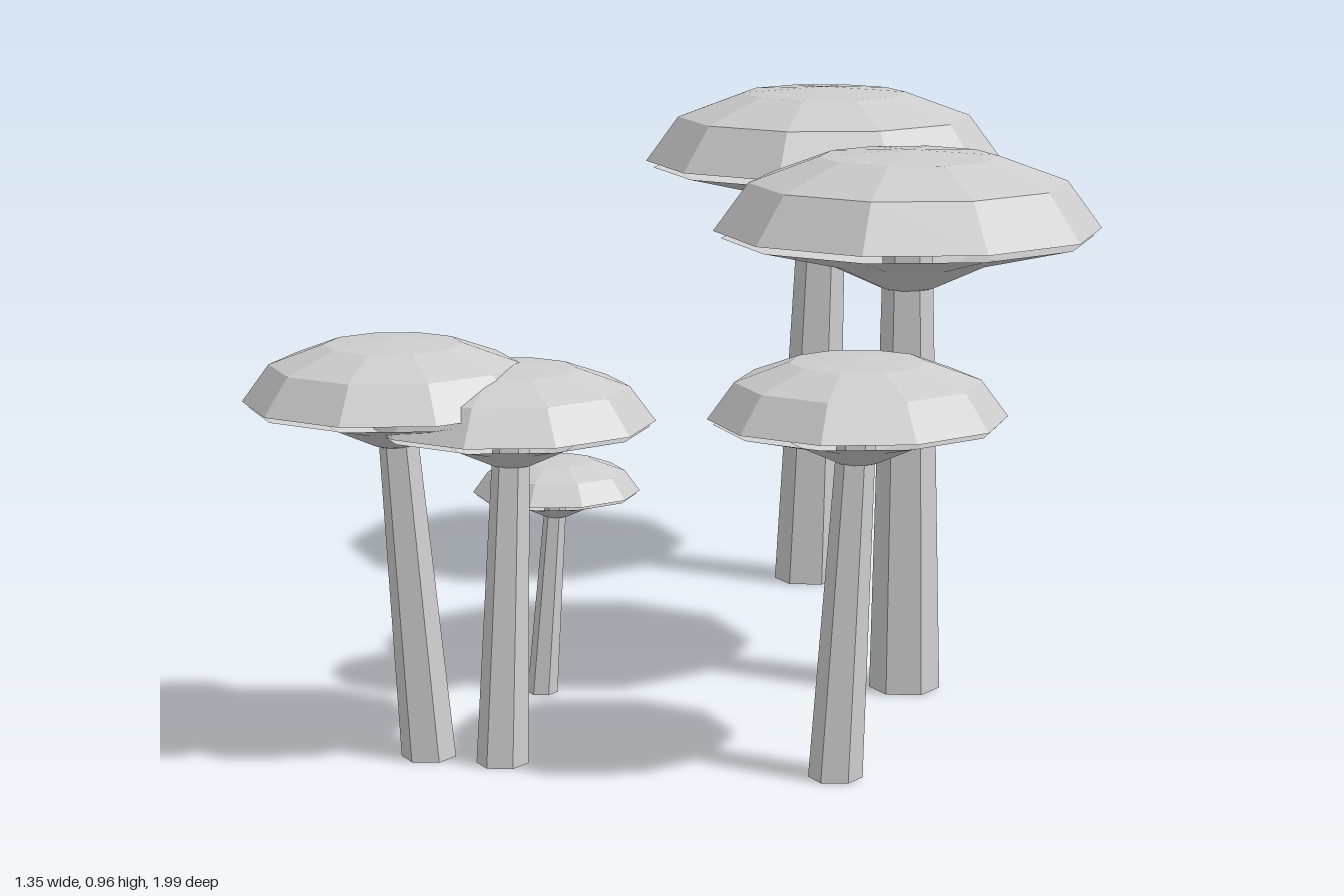
import * as THREE from 'three';

const grey = new THREE.MeshStandardMaterial({ color: 0xcccccc, flatShading: true, side: THREE.DoubleSide });
grey.name = 'pale grey';

// Profiles as [radius, height] in units of the cap radius, measured from the cap rim
const DOME = [[1, 0], [0.82, 0.246], [0.46, 0.378], [0, 0.412]];
const GILLS = [[0.1, -0.31], [0.15, -0.295], [0.45, -0.16], [0.96, -0.038]];

// Each mushroom: cap centre x, z, rim height, cap radius, stem foot x, z
const MUSHROOMS = [
  [-0.338, -0.675, 0.822, 0.341, -0.36, -0.65],
  [0.221, -0.055, 0.802, 0.333, 0.226, -0.043],
  [0.432, 0.449, 0.578, 0.238, 0.42, 0.494],
  [-0.085, 0.667, 0.552, 0.231, -0.076, 0.716],
  [-0.247, 0.763, 0.587, 0.243, -0.2, 0.75],
  [-0.267, 0.3, 0.353, 0.143, -0.285, 0.323],
];

// Ten-sided turned shape with corners on the x axis
function turned(profile, radius, name) {
  const points = profile.map(([r, y]) => new THREE.Vector2(r * radius, y * radius));
  const mesh = new THREE.Mesh(new THREE.LatheGeometry(points, 10, Math.PI / 2), grey);
  mesh.name = name;
  return mesh;
}

// Six-sided tapered stem, sheared so that it leans from its foot to the cap
function makeStem(height, radius, leanX, leanZ) {
  const geo = new THREE.CylinderGeometry(radius * 0.125, radius * 0.183, height, 6);
  geo.translate(0, height / 2, 0);
  const p = geo.attributes.position;
  for (let i = 0; i < p.count; i++) {
    const t = p.getY(i) / height;
    p.setX(i, p.getX(i) + leanX * t);
    p.setZ(i, p.getZ(i) + leanZ * t);
  }
  geo.computeVertexNormals();
  const mesh = new THREE.Mesh(geo, grey);
  mesh.name = 'stem';
  return mesh;
}

function makeMushroom([x, z, rimY, radius, footX, footZ]) {
  const mushroom = new THREE.Group();
  mushroom.name = 'mushroom';

  const stem = makeStem(rimY + 0.005, radius, x - footX, z - footZ);
  stem.position.set(footX, 0, footZ);

  // Dome and gill cone stay slightly apart at the rim
  const cap = new THREE.Group();
  cap.name = 'cap';
  cap.position.set(x, rimY, z);
  cap.add(turned(DOME, radius, 'capDome'), turned(GILLS, radius, 'capGills'));

  mushroom.add(stem, cap);
  return mushroom;
}

export function createModel() {
  const group = new THREE.Group();
  group.name = 'mushroomCluster';
  MUSHROOMS.forEach((m) => group.add(makeMushroom(m)));
  return group;
}
